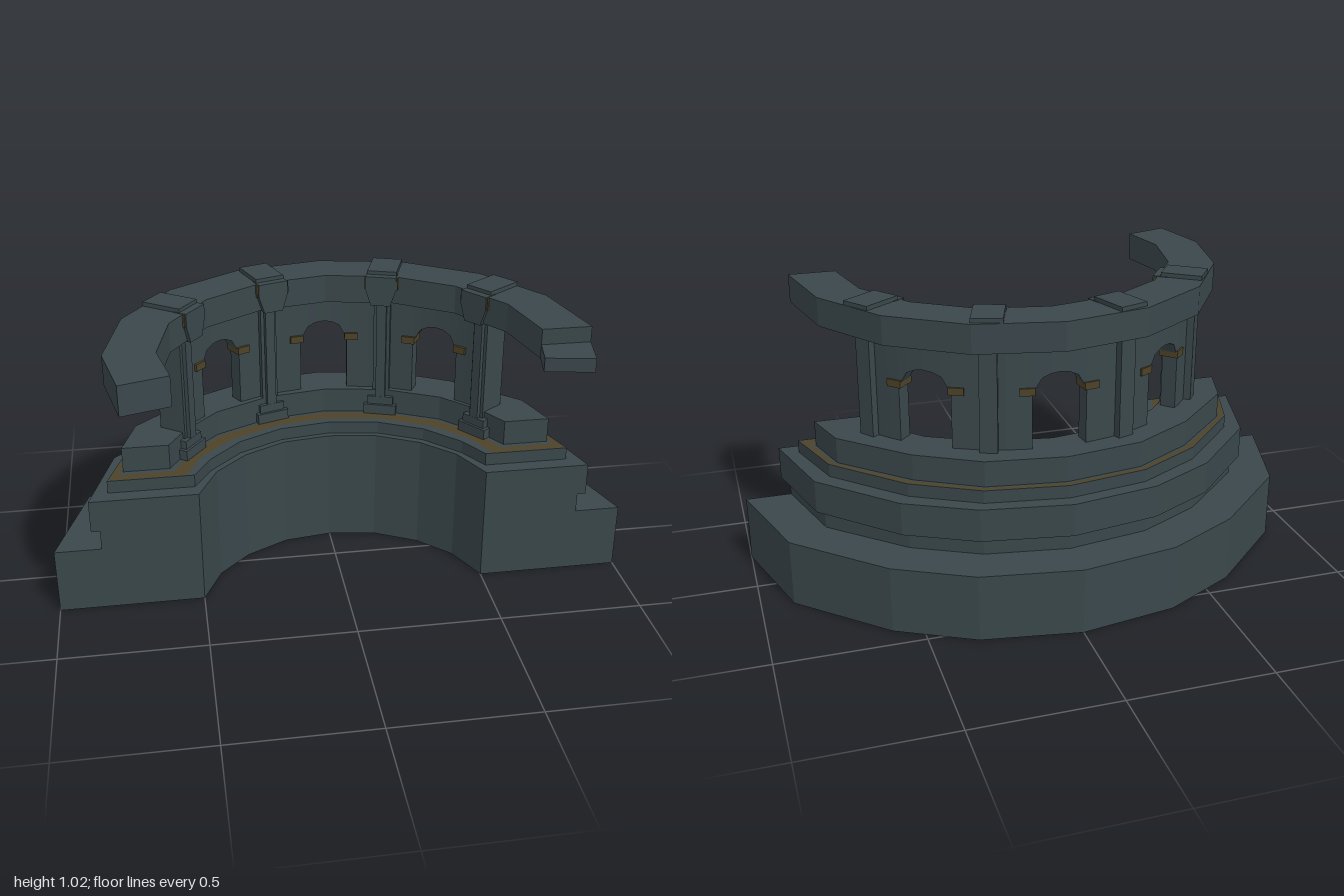
import * as THREE from 'three';

const CZ = 0.37; // centre of the curve in z
const stone = new THREE.MeshStandardMaterial({ color: 0x3a474b, side: THREE.DoubleSide });
stone.name = 'slate stone';
const gold = new THREE.MeshStandardMaterial({ color: 0x4d4228, side: THREE.DoubleSide });
gold.name = 'dull gold';

// Point on the plan at radius r, measured in degrees from the back
const polar = (r, deg) => {
  const a = THREE.MathUtils.degToRad(deg);
  return [r * Math.sin(a), CZ - r * Math.cos(a)];
};
const lerp = (a, b, t) => [a[0] + (b[0] - a[0]) * t, a[1] + (b[1] - a[1]) * t];
// Mirror a half row (back centre to right end) into a full row, left to right
const row = half => [...half.slice(1).reverse().map(([x, z]) => [-x, z]), ...half];
// Closed outline: inner row left to right, outer row back again
const outline = (inner, outer) => [...inner, ...[...outer].reverse()];

// Stitches outlines at successive heights; caps join the inner and outer rows
function stack(levels, top, bottom) {
  const pos = [];
  const quad = (a, b, c, d) => pos.push(...a, ...b, ...c, ...a, ...c, ...d);
  const rings = levels.map(([pts, y]) =>
    pts.map((p, i) => [p[0], Array.isArray(y) ? y[i] : y, p[1]]));
  const m = rings[0].length;
  for (let k = 0; k + 1 < rings.length; k++) {
    const lo = rings[k], hi = rings[k + 1];
    for (let i = 0; i < m; i++) {
      const j = (i + 1) % m;
      if (lo[i].every((v, n) => v === hi[i][n]) && lo[j].every((v, n) => v === hi[j][n])) continue;
      quad(lo[i], lo[j], hi[j], hi[i]);
    }
  }
  const t = rings[rings.length - 1], b = rings[0];
  for (let i = 0; i < m / 2 - 1; i++) {
    if (top) quad(t[i], t[i + 1], t[m - 2 - i], t[m - 1 - i]);
    if (bottom) quad(b[m - 1 - i], b[m - 2 - i], b[i + 1], b[i]);
  }
  const g = new THREE.BufferGeometry();
  g.setAttribute('position', new THREE.Float32BufferAttribute(pos, 3));
  g.computeVertexNormals();
  return g;
}

function add(parent, name, geometry, material = stone) {
  const mesh = new THREE.Mesh(geometry, material);
  mesh.name = name;
  parent.add(mesh);
  return mesh;
}
function box(parent, name, w, h, d, y, r, x = 0, material = stone) {
  add(parent, name, new THREE.BoxGeometry(w, h, d), material).position.set(x, y + h / 2, -r);
}
// Group whose local -z points outward at the given angle
function station(parent, name, deg) {
  const g = new THREE.Group();
  g.name = name;
  g.position.z = CZ;
  g.rotation.y = -THREE.MathUtils.degToRad(deg);
  parent.add(g);
  return g;
}
// Curved block between two radii; lo may vary with u from -1 to 1
function arcBlock(r0, r1, a0, a1, steps, lo, hi) {
  const inner = [], outer = [], ys = [];
  for (let i = 0; i <= steps; i++) {
    const t = i / steps, a = a0 + (a1 - a0) * t;
    inner.push(polar(r0, a));
    outer.push(polar(r1, a));
    ys.push(lo(t * 2 - 1));
  }
  return stack([[outline(inner, outer), [...ys, ...[...ys].reverse()]], [outline(inner, outer), hi]], true, true);
}

export function createModel() {
  const model = new THREE.Group();
  model.name = 'curvedColonnade';

  // Stepped base, open underneath
  const innerBase = row([[0, -0.145], [0.17, -0.12], [0.32, -0.04], [0.43, 0.07], [0.5, 0.22]]);
  const tier1 = outline(innerBase, row([[0, -0.61], [0.34, -0.555], [0.6, -0.42], [0.89, -0.15], [1, 0.22]]));
  const tier2 = outline(innerBase, row([[0, -0.46], [0.285, -0.415], [0.51, -0.3], [0.755, -0.075], [0.84, 0.22]]));
  const tier3 = outline(innerBase, row([[0, -0.505], [0.305, -0.455], [0.54, -0.335], [0.785, -0.09], [0.87, 0.22]]));
  const tier4 = outline(
    row([[0, -0.168], [0.18, -0.14], [0.335, -0.06], [0.45, 0.06], [0.51, 0.165]]),
    row([[0, -0.455], [0.28, -0.412], [0.505, -0.29], [0.73, -0.065], [0.805, 0.165]]));
  const trim = outline(
    row([[0, -0.2], [0.19, -0.17], [0.36, -0.085], [0.48, 0.035], [0.535, 0.16]]),
    row([[0, -0.452], [0.279, -0.409], [0.503, -0.287], [0.727, -0.063], [0.8, 0.16]]));
  const trimEdge = outline(
    row([[0, -0.25], [0.21, -0.215], [0.4, -0.12], [0.52, 0.005], [0.575, 0.125]]),
    row([[0, -0.435], [0.273, -0.394], [0.49, -0.272], [0.71, -0.06], [0.765, 0.125]]));
  const tier5 = outline(
    row([[0, -0.265], [0.215, -0.23], [0.41, -0.13], [0.53, 0], [0.59, 0.105]]),
    row([[0, -0.425], [0.27, -0.385], [0.483, -0.265], [0.7, -0.06], [0.75, 0.105]]));
  add(model, 'steppedBase', stack([[tier1, 0], [tier1, 0.235], [tier2, 0.235], [tier2, 0.305],
    [tier3, 0.305], [tier3, 0.42], [tier4, 0.42], [tier4, 0.465], [trim, 0.465]]));
  add(model, 'baseTrim', stack([[trim, 0.465], [trimEdge, 0.465]]), gold);
  add(model, 'plinth', stack([[trimEdge, 0.465], [tier5, 0.465], [tier5, 0.555]], true));

  // Broken ring beam: the left end is cut whole, the right end keeps only its lower half
  const beamRow = r => {
    const pts = [lerp(polar(r, -90), polar(r, -112.5), 0.78)];
    for (let i = -4; i <= 4; i++) pts.push(polar(r, i * 22.5));
    return pts;
  };
  const beam = outline(beamRow(0.61), beamRow(0.775));
  add(model, 'ringBeam', stack([[beam, 0.91], [beam, 1.01]], true, true));
  const stubRow = r => [polar(r, 90), lerp(polar(r, 90), polar(r, 112.5), 0.455)];
  const stub = outline(stubRow(0.61), stubRow(0.775));
  add(model, 'brokenBeamEnd', stack([[stub, 0.91], [stub, 0.957]], true, true));

  // Curved wall: solid piers and three arches
  const R0 = 0.655, R1 = 0.71, ARCH = 7.5, SIDE = 36.5;
  for (const [a, b] of [[-54, -SIDE - ARCH], [-SIDE + ARCH, -ARCH], [ARCH, SIDE - ARCH], [SIDE + ARCH, 54]])
    add(model, 'wallPier', arcBlock(R0, R1, a, b, 3, () => 0.55, 0.912));
  for (const c of [-SIDE, 0, SIDE]) {
    add(model, 'archHead', arcBlock(R0, R1, c - ARCH, c + ARCH, 6,
      u => 0.75 + 0.07 * Math.sqrt(Math.max(0, 1 - u * u)), 0.912));
    for (const s of [-1, 1]) {
      const ends = [c + s * (ARCH - 0.7), c + s * (ARCH + 3.5)].sort((p, q) => p - q);
      add(model, 'archImpost', arcBlock(R0 - 0.01, R1 + 0.006, ...ends, 1, () => 0.745, 0.771), gold);
    }
  }

  // Columns with stepped feet, corbels and cap stones
  const corbelShape = new THREE.Shape([[-0.035, 0.905], [0.035, 0.905], [0.055, 0.965], [0.055, 1.012], [-0.055, 1.012], [-0.055, 0.965]]
    .map(p => new THREE.Vector2(...p)));
  const corbel = new THREE.ExtrudeGeometry(corbelShape, { depth: 0.05, bevelEnabled: false });
  for (const deg of [-54, -19, 19, 54]) {
    const g = station(model, 'column', deg);
    box(g, 'columnShaft', 0.06, 0.45, 0.1, 0.465, 0.685);
    box(g, 'columnRib', 0.035, 0.45, 0.02, 0.465, 0.63);
    box(g, 'columnFootLower', 0.12, 0.037, 0.09, 0.465, 0.655);
    box(g, 'columnFootUpper', 0.095, 0.03, 0.075, 0.502, 0.657);
    box(g, 'capStone', 0.105, 0.02, 0.145, 1.005, 0.685);
    add(g, 'corbel', corbel).position.z = -0.635;
    for (const s of [-1, 1])
      box(g, 'corbelTrim', 0.008, 0.045, 0.03, 0.965, 0.605, s * 0.056, gold);
  }
  return model;
}
